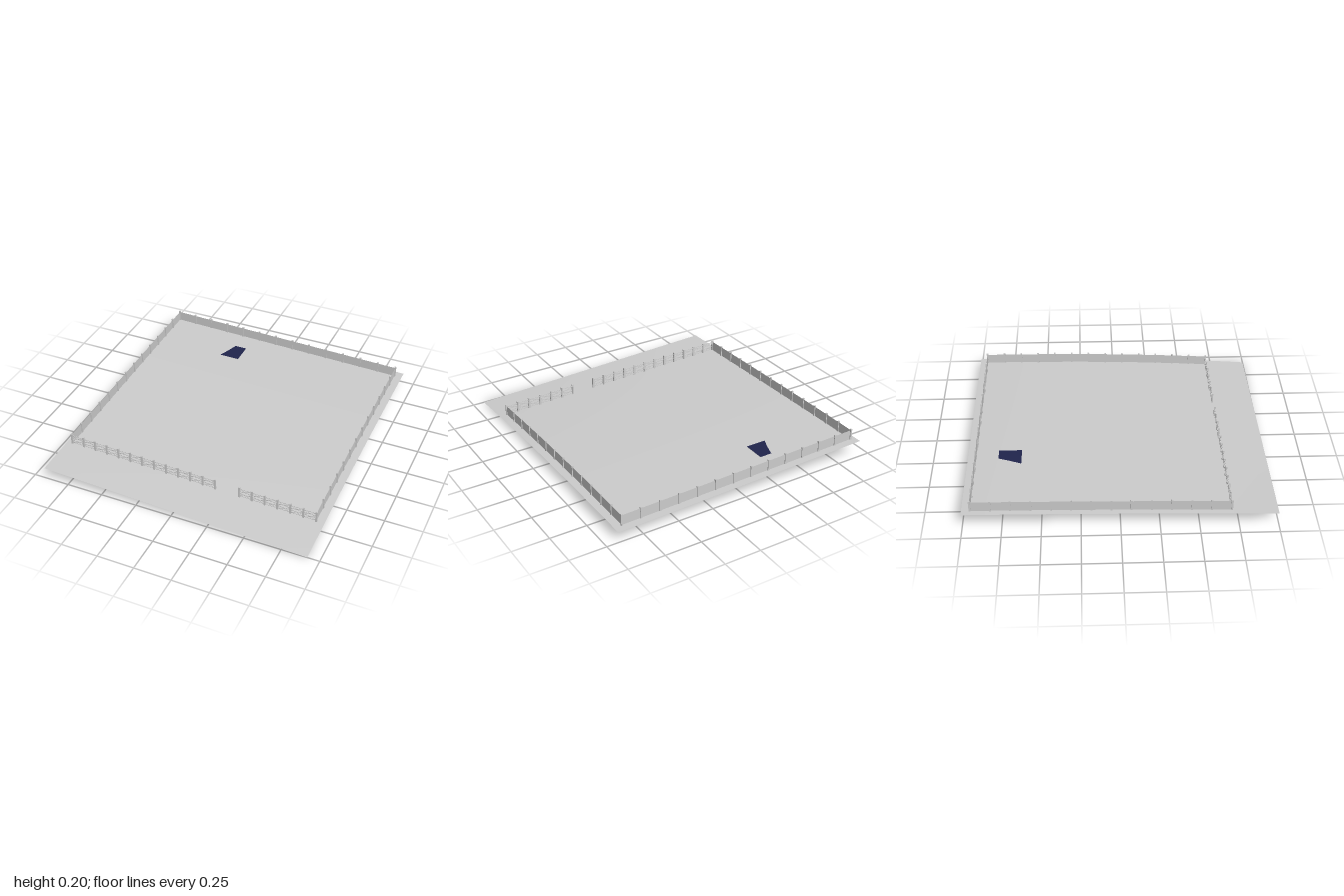
import * as THREE from 'three';

const grey = new THREE.MeshStandardMaterial({ color: 0xcccccc, side: THREE.DoubleSide });
const waterBlue = new THREE.MeshStandardMaterial({ color: 0x20244c, side: THREE.DoubleSide });

const POST_H = 0.078, PANEL_H = 0.069, POST_W = 0.012;

// Ground height: falls from left to right and bends down towards the front
function ground(x, z) {
  const u = (z + 1) / 2, t = (x + 0.92) / 1.84;
  const left = 0.12 - 0.039 * Math.pow(u, 1.48);
  const right = 0.072 - 0.072 * Math.pow(u, 2.4);
  return left + (right - left) * t;
}

function add(parent, name, geometry, material = grey) {
  const mesh = new THREE.Mesh(geometry, material);
  mesh.name = name;
  parent.add(mesh);
  return mesh;
}

// Thin square bar between two points
function bar(parent, name, a, b, w) {
  const mesh = add(parent, name, new THREE.BoxGeometry(w, w, a.distanceTo(b)));
  mesh.position.copy(a).add(b).multiplyScalar(0.5);
  mesh.lookAt(b);
}

// Upright sheet between two neighbouring posts, following the ground
function panel(parent, a, b) {
  const geo = new THREE.PlaneGeometry(1, 1);
  const p = geo.attributes.position;
  for (let i = 0; i < p.count; i++) {
    const end = p.getX(i) < 0 ? a : b;
    p.setXYZ(i, end.x, end.y + (p.getY(i) > 0 ? PANEL_H : 0), end.z);
  }
  geo.computeVertexNormals();
  add(parent, 'fencePanel', geo);
}

// Open wire bay: level wires with crossing diagonals
function wireBay(parent, a, b) {
  const at = (p, h) => new THREE.Vector3(p.x, p.y + h, p.z);
  for (const h of [0.008, 0.027, 0.046, 0.065]) bar(parent, 'wire', at(a, h), at(b, h), 0.003);
  for (const h of [0.008, 0.036]) {
    bar(parent, 'diagonalWire', at(a, h), at(b, h + 0.029), 0.0025);
    bar(parent, 'diagonalWire', at(a, h + 0.029), at(b, h), 0.0025);
  }
}

// Row of evenly spaced posts with a filled bay between each pair
function fence(name, x0, z0, x1, z1, posts, fillBay) {
  const group = new THREE.Group();
  group.name = name;
  let previous = null;
  for (let i = 0; i < posts; i++) {
    const t = i / (posts - 1);
    const x = x0 + (x1 - x0) * t, z = z0 + (z1 - z0) * t;
    const foot = new THREE.Vector3(x, ground(x, z), z);
    const post = add(group, 'fencePost', new THREE.BoxGeometry(POST_W, POST_H + 0.003, POST_W));
    post.position.set(x, foot.y + POST_H / 2 - 0.0015, z);
    if (previous) fillBay(group, previous, foot);
    previous = foot;
  }
  return group;
}

export function createModel() {
  const model = new THREE.Group();
  model.name = 'fencedYard';

  // Sloping ground sheet
  const land = new THREE.PlaneGeometry(1.84, 2, 24, 28).rotateX(-Math.PI / 2);
  const p = land.attributes.position;
  for (let i = 0; i < p.count; i++) p.setY(i, ground(p.getX(i), p.getZ(i)));
  land.computeVertexNormals();
  add(model, 'ground', land);

  // Sunken pool: four walls, open below, with level water emerging from the slope
  const pool = new THREE.Group();
  pool.name = 'pool';
  const x0 = -0.63, x1 = -0.255, z0 = -0.797, z1 = -0.643, bottom = 0.03, level = 0.1039;
  const w = x1 - x0, d = z1 - z0, h = level - bottom, cx = (x0 + x1) / 2, cz = (z0 + z1) / 2;
  for (const s of [-1, 1]) {
    add(pool, 'poolLongWall', new THREE.PlaneGeometry(w, h).rotateY(s < 0 ? Math.PI : 0))
      .position.set(cx, bottom + h / 2, cz + s * d / 2);
    add(pool, 'poolEndWall', new THREE.PlaneGeometry(d, h).rotateY(s * Math.PI / 2))
      .position.set(cx + s * w / 2, bottom + h / 2, cz);
  }
  add(pool, 'water', new THREE.PlaneGeometry(w, d).rotateX(-Math.PI / 2), waterBlue)
    .position.set(cx, level, cz);
  model.add(pool);

  // Solid fences on three sides, wire fences either side of the front gateway
  const L = -0.88, R = 0.867, B = -0.945, F = 0.703;
  model.add(
    fence('backFence', L, B, R, B, 14, panel),
    fence('rightFence', L, B, L, F, 14, panel),
    fence('leftFence', R, B, R, F, 14, panel),
    fence('frontFenceLong', L, F, 0.172, F, 13, wireBay),
    fence('frontFenceShort', 0.342, F, R, F, 7, wireBay)
  );
  return model;
}
